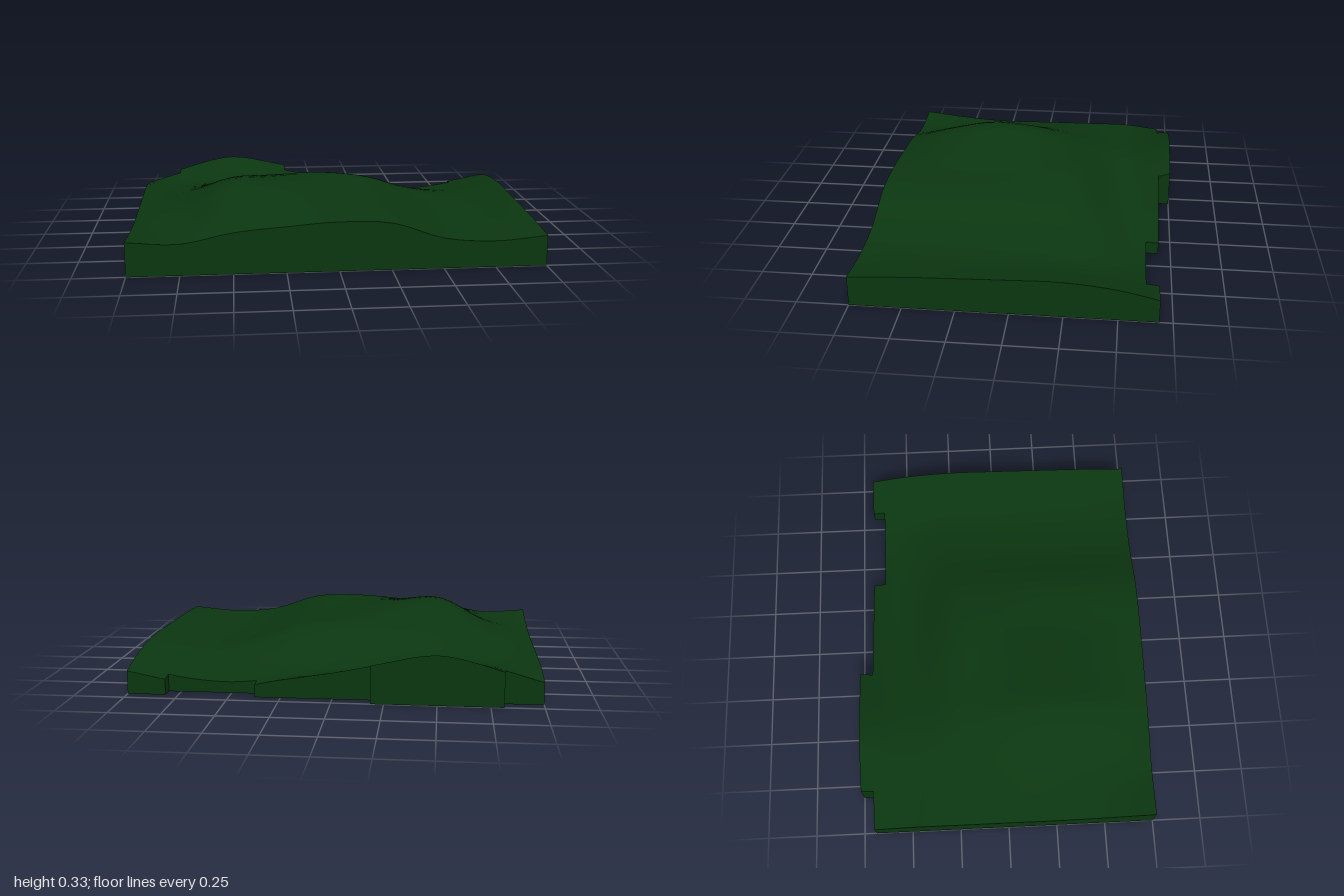
import * as THREE from 'three';
import { mergeVertices } from 'three/addons/utils/BufferGeometryUtils.js';

// Control heights every 0.25 units: rows run from the back (z = -0.75) to the front, columns from x = -1 to 1
const HEIGHTS = [
  [0.10, 0.19, 0.243, 0.20, 0.143, 0.092, 0.03, 0.06, 0.10],
  [0.13, 0.148, 0.160, 0.135, 0.108, 0.09, 0.083, 0.09, 0.157],
  [0.13, 0.168, 0.225, 0.243, 0.252, 0.222, 0.15, 0.122, 0.183],
  [0.128, 0.20, 0.292, 0.287, 0.266, 0.235, 0.15, 0.127, 0.18],
  [0.125, 0.20, 0.321, 0.297, 0.253, 0.235, 0.15, 0.128, 0.173],
  [0.14, 0.168, 0.277, 0.268, 0.247, 0.235, 0.15, 0.13, 0.165],
  [0.168, 0.153, 0.202, 0.225, 0.242, 0.230, 0.15, 0.13, 0.15],
];
const COLS = 32, ROWS = 24, CELL = 1 / 16;

// Smooth curve through evenly spaced values, t in control steps
function spline(values, t) {
  const last = values.length - 1;
  const i = Math.min(Math.floor(t), last - 1), f = t - i;
  const b = values[i], c = values[i + 1];
  const a = i > 0 ? values[i - 1] : 2 * b - c;
  const d = i + 2 <= last ? values[i + 2] : 2 * c - b;
  return b + 0.5 * f * (c - a + f * (2 * a - 5 * b + 4 * c - d + f * (3 * (b - c) + d - a)));
}

const height = (i, j) => spline(HEIGHTS.map((row) => spline(row, i / 4)), j / 4);

// First row kept in each column, giving the stepped back edge
function firstRow(i) {
  if (i >= 3 && i < 13) return 0;
  return i >= 22 && i < 29 ? 2 : 1;
}
const kept = (i, j) => i >= 0 && i < COLS && j < ROWS && j >= firstRow(i);

function quad(list, a, b, c, d) {
  for (const p of [a, b, c, a, c, d]) list.push(...p);
}

function makeMesh(name, positions, material, smooth) {
  let geometry = new THREE.BufferGeometry();
  geometry.setAttribute('position', new THREE.Float32BufferAttribute(positions, 3));
  if (smooth) geometry = mergeVertices(geometry, 1e-5);
  geometry.computeVertexNormals();
  const mesh = new THREE.Mesh(geometry, material);
  mesh.name = name;
  return mesh;
}

export function createModel() {
  const top = [], walls = [], base = [];
  const point = (i, j) => [-1 + i * CELL, height(i, j), -0.75 + j * CELL];
  const ground = ([x, , z]) => [x, 0, z];

  for (let i = 0; i < COLS; i++) {
    for (let j = firstRow(i); j < ROWS; j++) {
      const corners = [point(i, j), point(i, j + 1), point(i + 1, j + 1), point(i + 1, j)];
      quad(top, ...corners);
      quad(base, ...corners.map(ground).reverse());
      // Upright wall wherever the neighbouring cell is missing
      const neighbours = [[i - 1, j], [i, j + 1], [i + 1, j], [i, j - 1]];
      neighbours.forEach(([ni, nj], k) => {
        if (kept(ni, nj)) return;
        const a = corners[k], b = corners[(k + 1) % 4];
        quad(walls, ground(a), ground(b), b, a);
      });
    }
  }

  const green = new THREE.MeshStandardMaterial({ color: 0x0b3610 });
  const group = new THREE.Group();
  group.name = 'terrainTile';
  group.add(
    makeMesh('hillSurface', top, green, true),
    makeMesh('sideWalls', walls, green, false),
    makeMesh('base', base, green, false),
  );
  return group;
}
